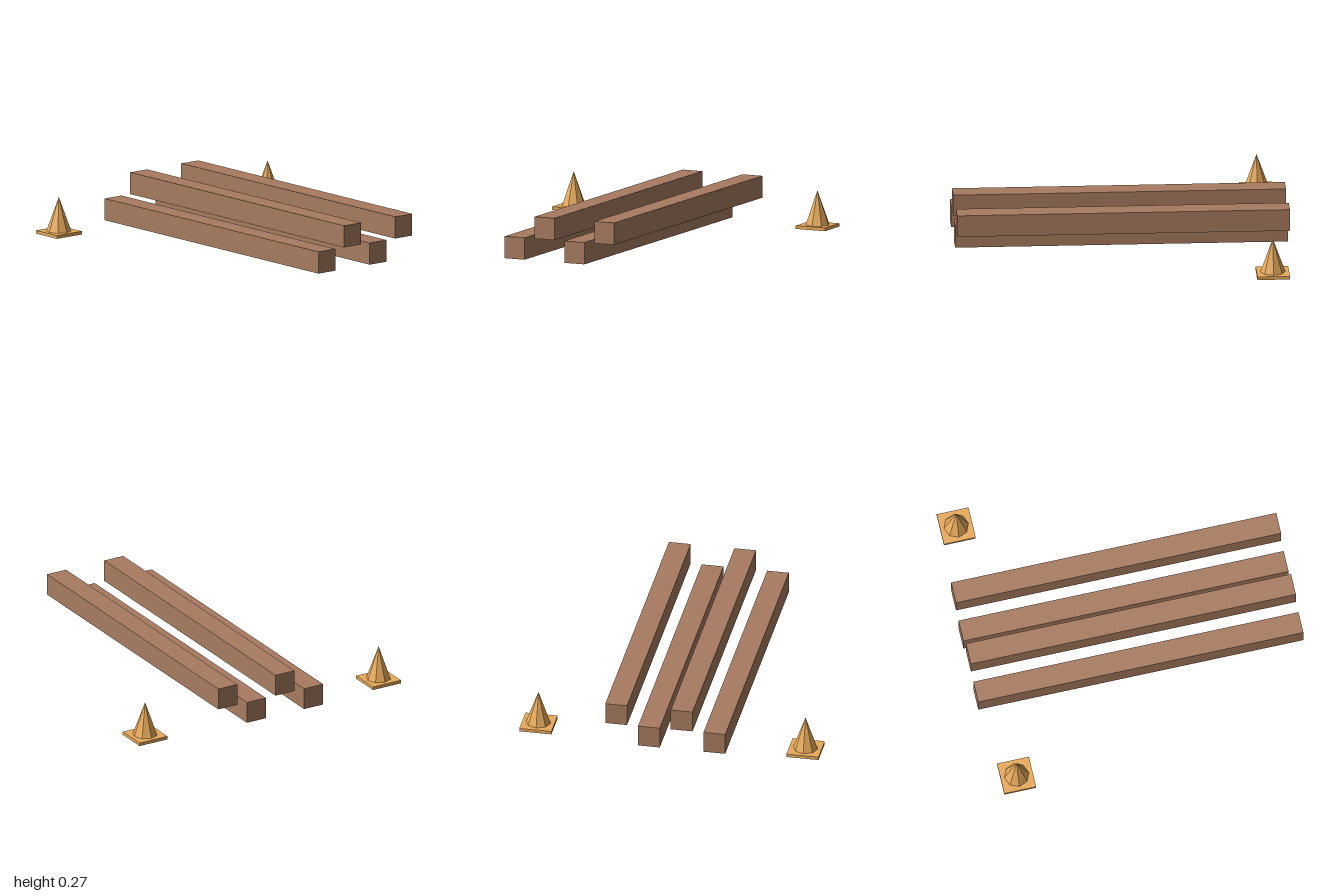
import * as THREE from 'three';

export function createModel() {
  const model = new THREE.Group();
  const wood = new THREE.MeshStandardMaterial({ color: 0xa87c60, flatShading: true });
  const orange = new THREE.MeshStandardMaterial({ color: 0xe8ab5b, flatShading: true });

  const add = (parent, name, geometry, material, x, y, z) => {
    const mesh = new THREE.Mesh(geometry, material);
    mesh.name = name;
    mesh.position.set(x, y, z);
    parent.add(mesh);
  };

  // Four long beams, alternating between ground and upper level
  const size = 0.133;
  const beamGeometry = new THREE.BoxGeometry(size, size, 2);
  for (let i = 0; i < 4; i++) {
    add(model, `beam${i + 1}`, beamGeometry, wood, -0.284 + i * 0.2, size * (0.5 + (i % 2)), 0);
  }

  // A traffic cone on each side at the back: square foot and eight-sided cone
  const footGeometry = new THREE.BoxGeometry(0.196, 0.02, 0.196);
  const coneGeometry = new THREE.ConeGeometry(0.075, 0.208, 8);
  for (const side of [-1, 1]) {
    const cone = new THREE.Group();
    cone.name = side > 0 ? 'leftTrafficCone' : 'rightTrafficCone';
    cone.position.set(side * 0.816, 0, -0.87);
    add(cone, 'coneFoot', footGeometry, orange, 0, 0.01, 0);
    add(cone, 'coneBody', coneGeometry, orange, 0, 0.124, 0);
    model.add(cone);
  }
  return model;
}
